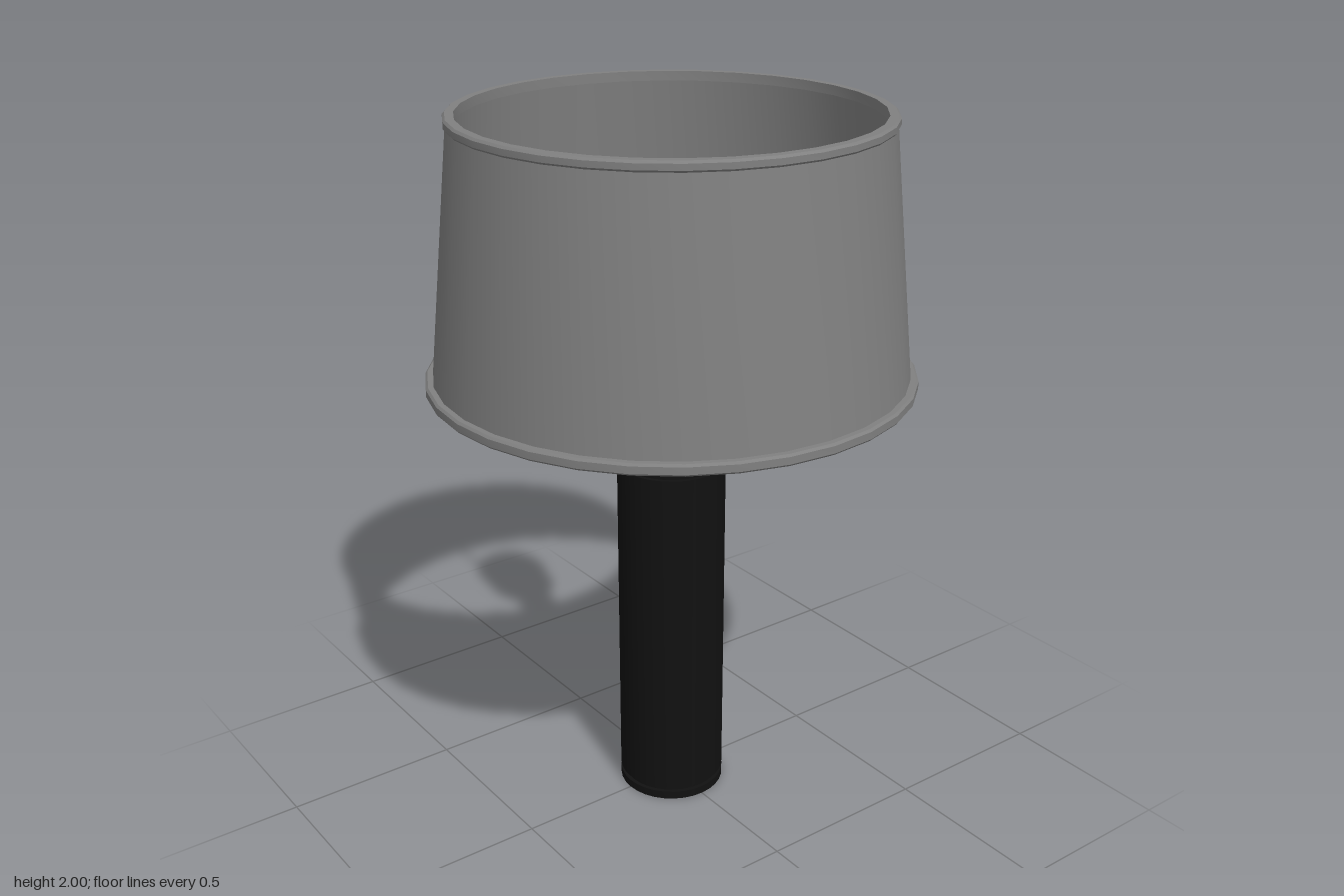
import * as THREE from 'three';
import { toCreasedNormals } from 'three/addons/utils/BufferGeometryUtils.js';

const SIDES = 32;

export function createModel() {
  const lamp = new THREE.Group();
  lamp.name = 'tableLamp';
  const black = new THREE.MeshStandardMaterial({ color: 0x111111 });
  const fabric = new THREE.MeshStandardMaterial({ color: 0x808080 });

  // Turned part from [radius, height] pairs, outer side running upwards
  function turned(name, profile, material, crease = 0.6) {
    const points = profile.map(([r, y]) => new THREE.Vector2(r, y));
    const geometry = toCreasedNormals(new THREE.LatheGeometry(points, SIDES), crease);
    const mesh = new THREE.Mesh(geometry, material);
    mesh.name = name;
    lamp.add(mesh);
  }

  // Column with a recessed groove near each end
  const R = 0.152, G = 0.141;
  turned('column', [
    [0, 0], [R, 0], [R, 0.024], [G, 0.024], [G, 0.038], [R, 0.038],
    [R, 1.03], [G, 1.03], [G, 1.043], [R, 1.043], [R, 1.064], [0, 1.064],
  ], black);

  // Stem, hub and bulb holder
  turned('stem', [[0.028, 1.06], [0.028, 1.29]], black);
  turned('hub', [[0, 1.275], [0.08, 1.275], [0.08, 1.297], [0, 1.297]], black);
  turned('socket', [[0.063, 1.295], [0.063, 1.46], [0, 1.46]], black);

  // Bulb: flared neck and domed top
  const bulb = [[0.045, 1.455], [0.066, 1.465], [0.09, 1.52], [0.112, 1.57]];
  for (let i = 0; i <= 10; i++) {
    const a = -0.4 + (Math.PI / 2 + 0.4) * i / 10;
    bulb.push([Math.max(0, 0.123 * Math.cos(a)), 1.715 + 0.123 * Math.sin(a)]);
  }
  turned('bulb', bulb, black, 1);

  // Four spokes carrying the shade
  for (let i = 0; i < 4; i++) {
    const spoke = new THREE.Mesh(new THREE.CylinderGeometry(0.006, 0.006, 0.61, 8), black);
    spoke.name = 'spoke';
    spoke.rotation.z = Math.PI / 2;
    spoke.position.set(0.335, 1.287, 0);
    const arm = new THREE.Group();
    arm.name = 'spokeArm';
    arm.rotation.y = i * Math.PI / 2;
    arm.add(spoke);
    lamp.add(arm);
  }

  // Tapered shade with thickness, and a trim ring on each edge
  turned('shade', [
    [0.63, 1.285], [0.646, 1.285], [0.573, 1.99], [0.56, 1.99], [0.63, 1.285],
  ], fabric);
  const trim = (name, inner, outer, y0, y1) => turned(name, [
    [inner, y0], [outer - 0.004, y0], [outer, y0 + 0.005], [outer, y1 - 0.006],
    [outer - 0.006, y1], [inner, y1], [inner, y0],
  ], fabric);
  trim('bottomTrim', 0.625, 0.665, 1.273, 1.304);
  trim('topTrim', 0.552, 0.581, 1.973, 2);

  return lamp;
}
